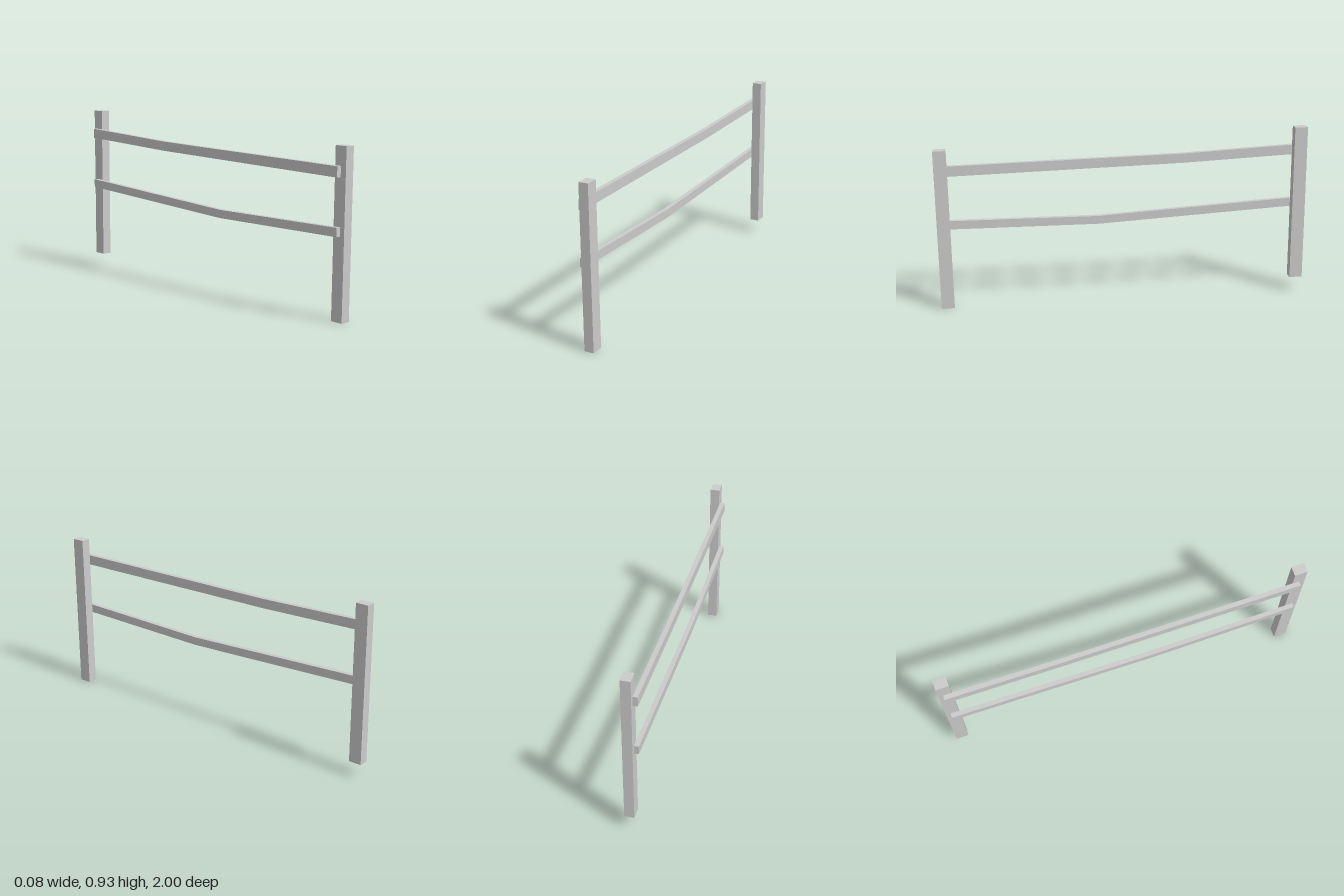
import * as THREE from 'three';

const material = new THREE.MeshStandardMaterial({ color: 0xcccccc, flatShading: true, side: THREE.DoubleSide });

// Square post, open underneath
function post(name, height, y, z, tilt) {
  const geo = new THREE.BoxGeometry(0.052, height, 0.07);
  const index = Array.from(geo.index.array);
  index.splice(18, 6); // drop the bottom face
  geo.setIndex(index);
  geo.clearGroups();
  const mesh = new THREE.Mesh(geo, material);
  mesh.name = name;
  mesh.position.set(0.011, y, z);
  mesh.rotation.x = tilt;
  return mesh;
}

// Bent rail: stations of [z, bottom, top], extruded across its thickness
function rail(name, stations) {
  const lower = stations.map(([z, b]) => new THREE.Vector2(z, b));
  const upper = stations.map(([z, , t]) => new THREE.Vector2(z, t)).reverse();
  const geo = new THREE.ExtrudeGeometry(new THREE.Shape([...lower, ...upper]), { depth: 0.025, bevelEnabled: false });
  geo.rotateY(-Math.PI / 2);
  geo.translate(-0.015, 0, 0);
  const mesh = new THREE.Mesh(geo, material);
  mesh.name = name;
  return mesh;
}

export function createModel() {
  const fence = new THREE.Group();
  fence.name = 'fence';

  // Posts: the front one leans slightly, the back one stands on higher ground
  fence.add(post('frontPost', 0.869, 0.435, 0.9576, 0.017));
  fence.add(post('backPost', 0.85, 0.505, -0.965, 0));

  // Rails, fixed to the right side of the posts
  fence.add(rail('upperRail', [[-0.975, 0.772, 0.825], [-0.33, 0.745, 0.796], [0.965, 0.717, 0.772]]));
  fence.add(rail('lowerRail', [[-0.975, 0.48, 0.526], [0.13, 0.423, 0.467], [0.965, 0.428, 0.474]]));
  return fence;
}
